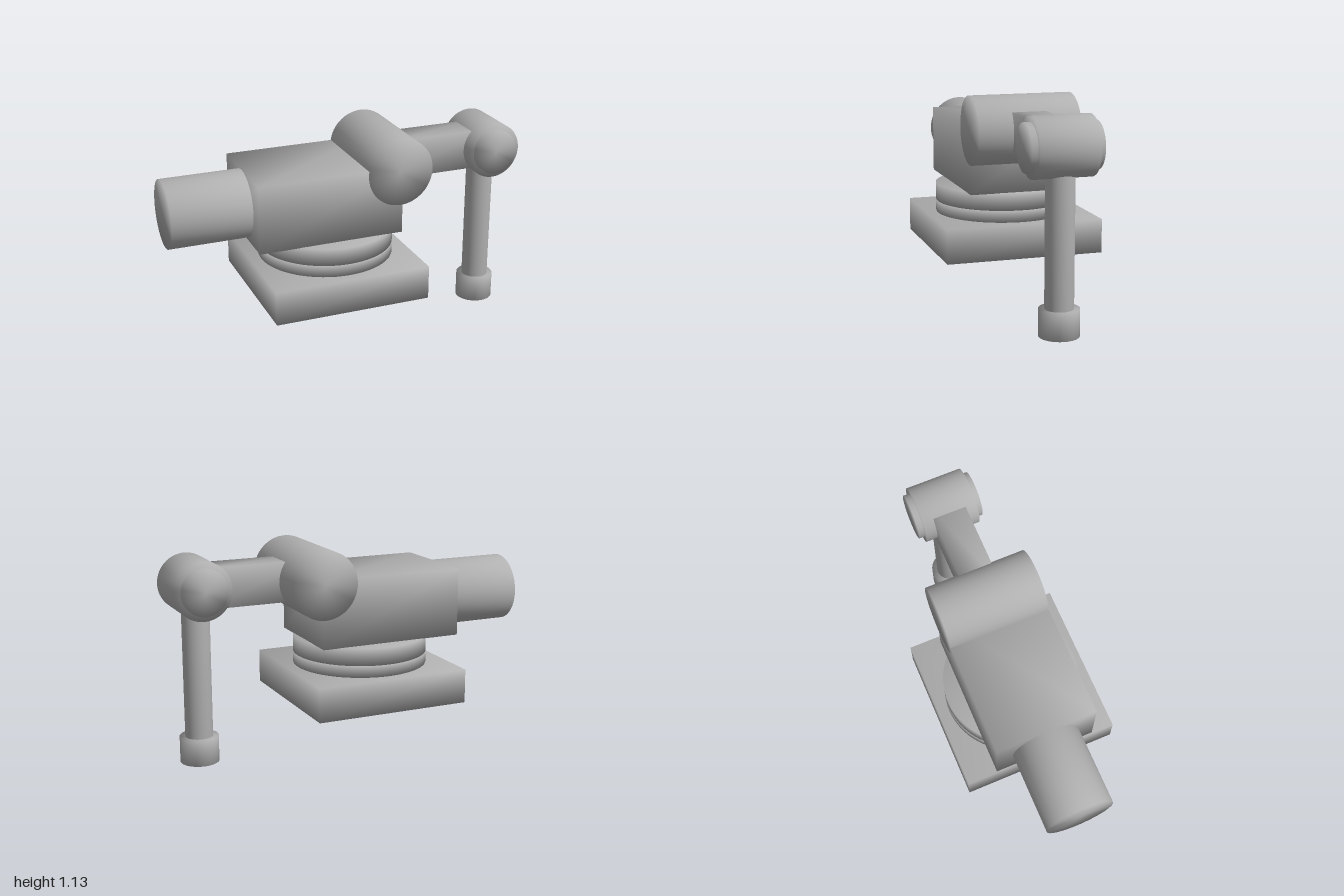
import * as THREE from 'three';
import { mergeVertices } from 'three/addons/utils/BufferGeometryUtils.js';

export function createModel() {
  const robot = new THREE.Group();
  robot.name = 'robotArm';
  const grey = new THREE.MeshStandardMaterial({ name: 'grey', color: 0xb0b0b0 });

  // Weld the corners so that shading runs softly over every edge
  function soften(geometry) {
    geometry.deleteAttribute('uv');
    geometry.deleteAttribute('normal');
    const welded = mergeVertices(geometry, 1e-4);
    welded.computeVertexNormals();
    return welded;
  }

  function add(name, geometry, x, y, z = 0) {
    const mesh = new THREE.Mesh(soften(geometry), grey);
    mesh.name = name;
    mesh.position.set(x, y, z);
    robot.add(mesh);
  }

  const box = (w, h, d) => new THREE.BoxGeometry(w, h, d);

  // Cylinder lying along the given axis
  function cylinder(radius, length, axis = 'y') {
    const geometry = new THREE.CylinderGeometry(radius, radius, length, 64);
    if (axis === 'x') geometry.rotateZ(Math.PI / 2);
    if (axis === 'z') geometry.rotateX(Math.PI / 2);
    return geometry;
  }

  // Base and turntable
  const baseX = -0.104;
  add('basePlate', box(0.864, 0.185, 0.864), baseX, 0.358);
  add('lowerTurntable', cylinder(0.37, 0.065), baseX, 0.4825);
  add('upperTurntable', cylinder(0.37, 0.094), baseX, 0.562);

  // Body with the motor at its end
  add('body', box(0.803, 0.37, 0.554), -0.1665, 0.793);
  add('motor', cylinder(0.185, 0.45, 'x'), -0.775, 0.793);

  // Shoulder, arm and wrist
  const jointY = 0.95;
  const wristX = 0.842;
  add('shoulderJoint', cylinder(0.184, 0.556, 'z'), 0.223, jointY);
  add('upperArm', box(0.6, 0.215, 0.186), 0.53, jointY);
  add('wristJoint', cylinder(0.154, 0.308, 'z'), wristX, jointY);
  add('wristPin', cylinder(0.123, 0.37, 'z'), wristX, jointY);

  // Hanging forearm and tool
  add('forearm', cylinder(0.074, 0.8), wristX, 0.54);
  add('toolTip', cylinder(0.104, 0.141), wristX, 0.0705);

  return robot;
}
